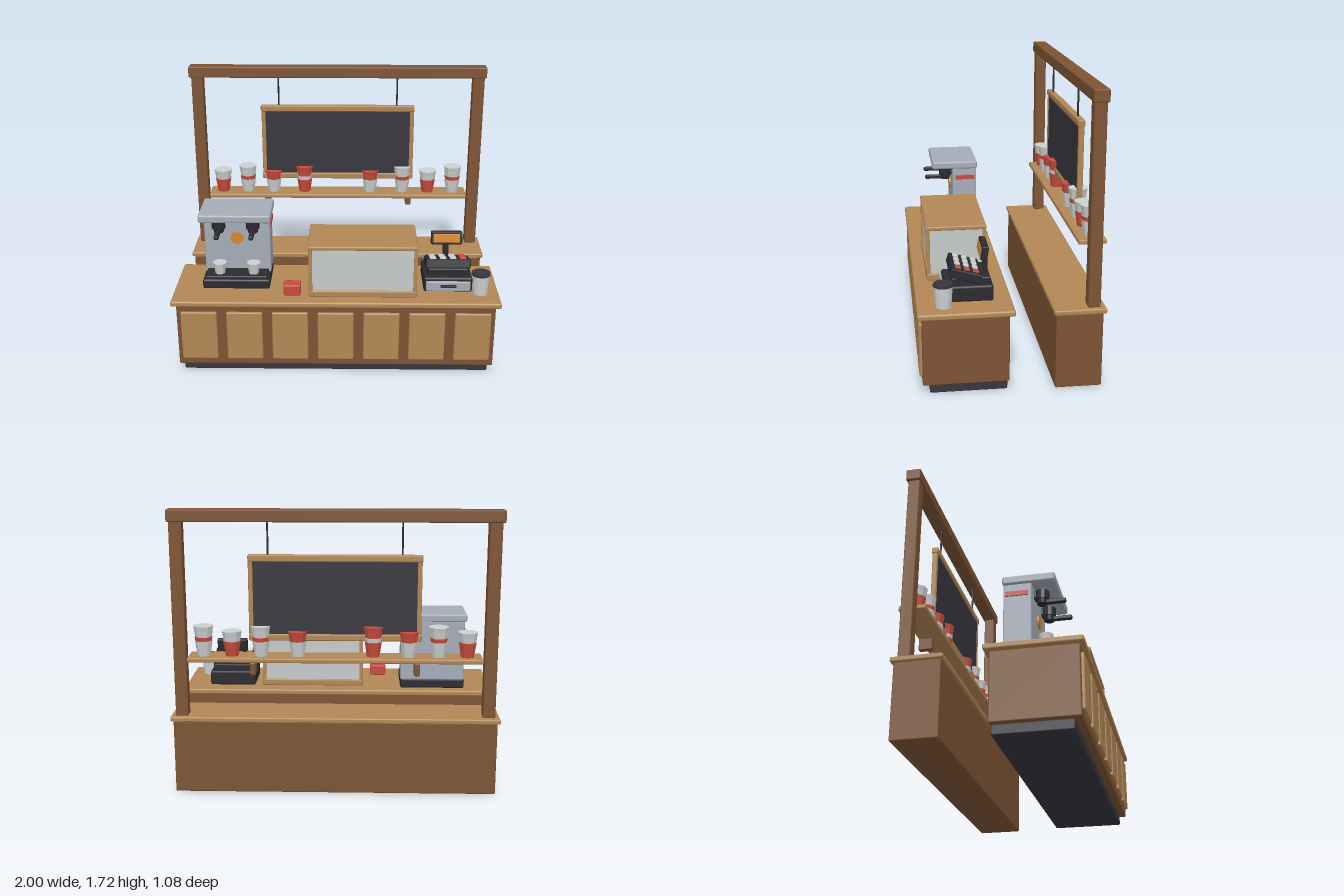
import * as THREE from 'three';
import { RoundedBoxGeometry } from 'three/addons/geometries/RoundedBoxGeometry.js';

const mat = (name, color) => {
  const m = new THREE.MeshStandardMaterial({ color });
  m.name = name;
  return m;
};

export function createModel() {
  const darkWood = mat('dark wood', 0x7d5434);
  const lightWood = mat('light wood', 0xb28755);
  const black = mat('black', 0x2a2a30);
  const slate = mat('slate', 0x37363e);
  const steel = mat('steel', 0xa5acb7);
  const glass = mat('pale glass', 0xc5cac8);
  const white = mat('cup white', 0xcdd0d0);
  const red = mat('red', 0xc94b3d);
  const orange = mat('orange', 0xd4882f);

  const root = new THREE.Group();
  root.name = 'coffeeBar';
  const group = (name, parent = root) => {
    const g = new THREE.Group();
    g.name = name;
    parent.add(g);
    return g;
  };
  const add = (parent, name, geo, m, x = 0, y = 0, z = 0) => {
    const mesh = new THREE.Mesh(geo, m);
    mesh.name = name;
    mesh.position.set(x, y, z);
    parent.add(mesh);
    return mesh;
  };
  // bevelled box given by its limits on each axis
  const box = (parent, name, m, x0, x1, y0, y1, z0, z1, bevel = 0.008) => {
    const w = x1 - x0, h = y1 - y0, d = z1 - z0;
    const r = Math.min(bevel, Math.min(w, h, d) * 0.3);
    return add(parent, name, new RoundedBoxGeometry(w, h, d, 1, r), m,
      (x0 + x1) / 2, (y0 + y1) / 2, (z0 + z1) / 2);
  };
  // faceted tapered cylinder standing on y
  const taper = (parent, name, m, x, y, z, rBottom, rTop, h, sides = 10) =>
    add(parent, name, new THREE.CylinderGeometry(rTop, rBottom, h, sides).toNonIndexed(), m, x, y + h / 2, z)
      .geometry.computeVertexNormals();

  // front counter
  const counter = group('frontCounter');
  box(counter, 'plinth', slate, -0.945, 0.945, 0, 0.06, 0.03, 0.47);
  box(counter, 'counterBody', darkWood, -0.97, 0.97, 0.06, 0.466, 0.02, 0.51);
  box(counter, 'counterTop', lightWood, -1, 1, 0.465, 0.5, -0.01, 0.535, 0.012);
  for (let i = -3; i <= 3; i++) {
    const x = i * 0.278;
    box(counter, 'frontPanel', lightWood, x - 0.11, x + 0.11, 0.105, 0.425, 0.5, 0.527);
  }

  // back counter
  const back = group('backCounter');
  box(back, 'backCounterBody', darkWood, -0.97, 0.97, 0, 0.451, -0.51, -0.24);
  box(back, 'backCounterTop', lightWood, -0.985, 0.985, 0.45, 0.48, -0.527, -0.228);

  // posts and beam
  const frame = group('overheadFrame');
  for (const s of [-1, 1]) {
    box(frame, 'post', darkWood, s * 0.918 - 0.038, s * 0.918 + 0.038, 0.478, 1.65, -0.495, -0.422);
  }
  box(frame, 'beam', darkWood, -0.972, 0.968, 1.643, 1.715, -0.505, -0.415);

  // hanging chalkboard
  const board = group('chalkboard');
  box(board, 'slateBoard', slate, -0.485, 0.485, 0.97, 1.42, -0.47, -0.446, 0.002);
  box(board, 'topRail', lightWood, -0.51, 0.507, 1.412, 1.452, -0.48, -0.436);
  box(board, 'bottomRail', lightWood, -0.51, 0.507, 0.943, 0.983, -0.48, -0.436);
  for (const s of [-1, 1]) {
    box(board, 'sideRail', lightWood, s * 0.492 - 0.014, s * 0.492 + 0.014, 0.975, 1.42, -0.475, -0.441);
    taper(board, 'hangingRod', black, s * 0.39, 1.44, -0.458, 0.006, 0.006, 0.21, 6);
  }

  // shelf
  const shelf = group('shelf');
  box(shelf, 'shelfBoard', lightWood, -0.87, 0.87, 0.822, 0.85, -0.54, -0.377);
  for (const s of [-1, 1]) {
    box(shelf, 'shelfBracket', darkWood, s * 0.482 - 0.018, s * 0.482 + 0.018, 0.747, 0.823, -0.537, -0.45);
  }

  // stacked cups: position, then colours from the bottom up
  const stacks = [
    [-0.78, [red, white]], [-0.61, [white, red, white]], [-0.435, [white, red]], [-0.225, [red, white, red]],
    [0.22, [white, red]], [0.438, [white, red, white]], [0.61, [red, white]], [0.778, [white, red, white]],
  ];
  for (const [x, colours] of stacks) {
    const stack = group('cupStack', shelf);
    const tall = colours.length === 3;
    taper(stack, 'bottomCup', colours[0], x, 0.85, -0.461, 0.039, 0.053, 0.09);
    if (tall) taper(stack, 'middleCup', colours[1], x, 0.938, -0.461, 0.049, 0.053, 0.027);
    const y = tall ? 0.965 : 0.94;
    const h = tall ? 0.035 : 0.03;
    const top = colours[colours.length - 1];
    taper(stack, 'upperCup', top, x, y, -0.461, 0.05, 0.055, h);
    taper(stack, 'topCup', top, x, y + h, -0.461, 0.054, 0.06, 0.03);
  }

  // espresso machine
  const machine = group('espressoMachine');
  box(machine, 'machineBase', black, -0.825, -0.41, 0.498, 0.56, 0.055, 0.35, 0.012);
  box(machine, 'dripTray', black, -0.81, -0.425, 0.555, 0.58, 0.2, 0.34);
  box(machine, 'machineBody', steel, -0.82, -0.41, 0.555, 0.945, 0.06, 0.222);
  box(machine, 'machineTop', steel, -0.835, -0.395, 0.94, 0.99, 0.055, 0.358, 0.012);
  for (const x of [-0.823, -0.407]) {
    box(machine, 'sideStripe', red, x - 0.004, x + 0.004, 0.865, 0.895, 0.072, 0.203, 0.002);
  }
  const dial = add(machine, 'dial', new THREE.CylinderGeometry(0.04, 0.04, 0.012, 20), orange, -0.617, 0.79, 0.226);
  dial.rotation.x = Math.PI / 2;
  const knob = add(machine, 'steamKnob', new THREE.CylinderGeometry(0.016, 0.016, 0.03, 10), black, -0.617, 0.917, 0.232);
  knob.rotation.x = Math.PI / 2;
  for (const x of [-0.722, -0.512]) {
    box(machine, 'groupHeadArm', black, x - 0.025, x + 0.025, 0.88, 0.93, 0.215, 0.26);
    taper(machine, 'groupHead', black, x, 0.875, 0.265, 0.042, 0.042, 0.052, 12);
    taper(machine, 'filterBasket', black, x, 0.848, 0.265, 0.03, 0.034, 0.03, 12);
    box(machine, 'filterHandle', black, x - 0.015, x + 0.015, 0.848, 0.874, 0.27, 0.402);
    taper(machine, 'machineCup', white, x, 0.579, 0.285, 0.03, 0.043, 0.073);
  }

  // small red box
  box(root, 'redBox', red, -0.32, -0.215, 0.498, 0.567, 0.355, 0.437);

  // display case
  const display = group('displayCase');
  box(display, 'caseBase', lightWood, -0.167, 0.494, 0.498, 0.54, 0.095, 0.455);
  box(display, 'caseTop', lightWood, -0.167, 0.494, 0.808, 0.833, 0.095, 0.455);
  box(display, 'caseGlass', glass, -0.155, 0.482, 0.535, 0.812, 0.107, 0.443, 0.002);
  for (const x of [-0.154, 0.481]) {
    for (const z of [0.108, 0.442]) {
      box(display, 'caseCorner', lightWood, x - 0.011, x + 0.011, 0.535, 0.812, z - 0.011, z + 0.011, 0.003);
    }
  }

  // cash register
  const register = group('cashRegister');
  box(register, 'registerBody', black, 0.54, 0.838, 0.498, 0.592, 0.095, 0.372, 0.012);
  box(register, 'drawerFront', steel, 0.553, 0.825, 0.51, 0.572, 0.365, 0.386, 0.005);
  box(register, 'drawerHandle', black, 0.642, 0.737, 0.537, 0.553, 0.38, 0.4, 0.003);
  box(register, 'registerNeck', black, 0.565, 0.815, 0.585, 0.635, 0.11, 0.33);
  const keys = group('keyboard', register);
  keys.position.set(0.69, 0.647, 0.25);
  keys.rotation.x = -0.28;
  box(keys, 'keyboardBlock', black, -0.137, 0.137, -0.028, 0.028, -0.09, 0.09);
  for (let c = 0; c < 4; c++) {
    for (let r = 0; r < 3; r++) {
      const x = (c - 1.5) * 0.062, z = (r - 1) * 0.053;
      box(keys, 'key', c === 3 ? red : white, x - 0.019, x + 0.019, 0.024, 0.038, z - 0.016, z + 0.016, 0.003);
    }
  }
  box(register, 'displayPole', black, 0.672, 0.708, 0.62, 0.74, 0.115, 0.145);
  const screen = group('customerDisplay', register);
  screen.position.set(0.692, 0.763, 0.14);
  screen.rotation.x = -0.15;
  box(screen, 'displayHousing', black, -0.098, 0.098, -0.042, 0.042, -0.02, 0.02);
  box(screen, 'displayScreen', orange, -0.083, 0.083, -0.028, 0.028, 0.017, 0.024, 0.002);

  // tumbler with lid
  const tumbler = group('tumbler');
  taper(tumbler, 'tumblerCup', white, 0.885, 0.499, 0.383, 0.046, 0.053, 0.128, 12);
  taper(tumbler, 'tumblerLid', slate, 0.885, 0.625, 0.383, 0.058, 0.058, 0.014, 12);

  return root;
}
